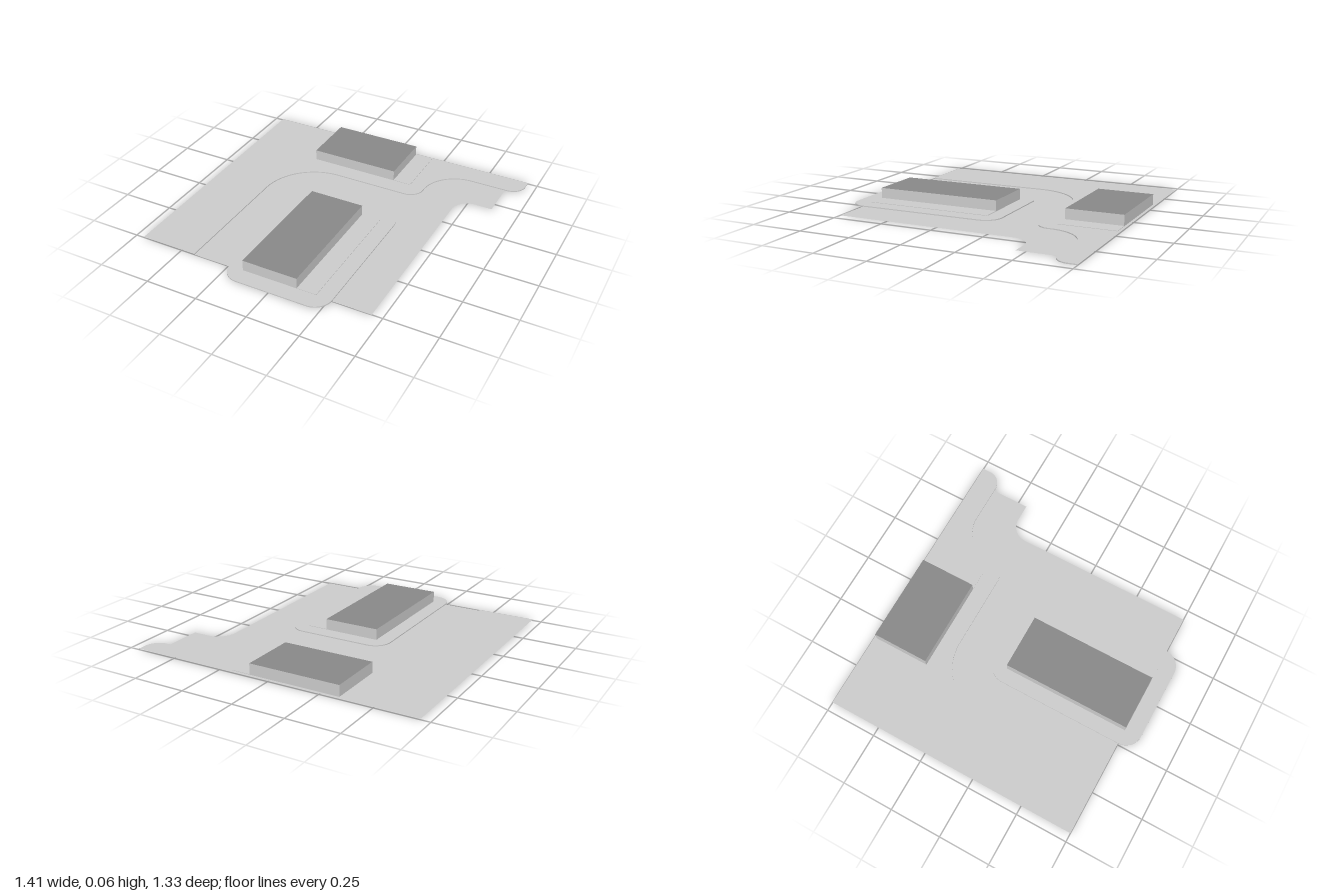
import * as THREE from 'three';

// Plan coordinates: u = x, v = -z, so v grows toward the back.
const KERB = 0.005;   // pavement height above the road
const ROOF = 0.057;   // top of the buildings

const paving = new THREE.MeshStandardMaterial({ color: 0xcbcbcb, side: THREE.DoubleSide });
paving.name = 'lightGreyPaving';
const wallPaint = new THREE.MeshStandardMaterial({ color: 0xcccccc, side: THREE.DoubleSide });
wallPaint.name = 'lightGreyWall';
const roofing = new THREE.MeshStandardMaterial({ color: 0x888888, side: THREE.DoubleSide });
roofing.name = 'darkGreyRoof';

function add(parent, name, geometry, material) {
  const mesh = new THREE.Mesh(geometry, material);
  mesh.name = name;
  parent.add(mesh);
  return mesh;
}

// Flat sheet at height y with optional holes
function sheet(points, y, holes = []) {
  const shape = new THREE.Shape(points);
  holes.forEach((h) => shape.holes.push(new THREE.Path(h)));
  return new THREE.ShapeGeometry(shape).rotateX(-Math.PI / 2).translate(0, y, 0);
}

// Vertical band following a plan path
function band(points, y0, y1) {
  const pos = [];
  for (let i = 0; i < points.length - 1; i++) {
    const a = points[i], b = points[i + 1];
    pos.push(a.x, y0, -a.y, b.x, y0, -b.y, b.x, y1, -b.y);
    pos.push(a.x, y0, -a.y, b.x, y1, -b.y, a.x, y1, -a.y);
  }
  const g = new THREE.BufferGeometry();
  g.setAttribute('position', new THREE.Float32BufferAttribute(pos, 3));
  g.computeVertexNormals();
  return g;
}

const P = (x, z) => new THREE.Vector2(x, -z);
const rect = (x0, x1, z0, z1) => [P(x0, z1), P(x1, z1), P(x1, z0), P(x0, z0)];
const closed = (pts) => [...pts, pts[0]];

// Winding kerb from the front left to the back right
function kerbLine() {
  const p = new THREE.Path();
  p.moveTo(-0.43, -0.25);
  p.lineTo(-0.43, 0.37);
  p.absarc(-0.17, 0.37, 0.26, Math.PI, Math.PI / 2, true);
  p.lineTo(0.195, 0.63);
  p.absarc(0.195, 0.70, 0.07, -Math.PI / 2, 0, false);
  p.absarc(0.445, 0.71, 0.18, Math.PI, Math.PI / 2, true);
  p.lineTo(0.62, 0.89);
  return p.getPoints(16);
}

// Rounded end of the back pavement
function pavementEnd() {
  const p = new THREE.Path();
  p.moveTo(0.62, 0.89);
  p.absarc(0.632, 0.96, 0.07, -Math.PI / 2, 0, false);
  p.lineTo(0.702, 1);
  return p.getPoints(12);
}

// Rounded rectangle of the island, anticlockwise
function islandOutline() {
  const x0 = -0.243, x1 = 0.265, v0 = -0.328, v1 = 0.442, r = 0.08, q = Math.PI / 2;
  const p = new THREE.Path();
  p.absarc(x0 + r, v0 + r, r, 2 * q, 3 * q, false);
  p.absarc(x1 - r, v0 + r, r, 3 * q, 4 * q, false);
  p.absarc(x1 - r, v1 - r, r, 0, q, false);
  p.absarc(x0 + r, v1 - r, r, q, 2 * q, false);
  return p.getPoints(10);
}

// Open-bottomed building with a flat roof and a thin paved apron beside it
function building(name, x0, x1, z0, z1, apronX) {
  const g = new THREE.Group();
  g.name = name;
  const plan = rect(x0, x1, z0, z1);
  add(g, 'walls', band(closed(plan), KERB, ROOF), wallPaint);
  add(g, 'roof', sheet(plan, ROOF), roofing);
  const apron = add(g, 'apron', new THREE.BoxGeometry(apronX - x1, 0.002, z1 - z0), paving);
  apron.position.set((x1 + apronX) / 2, KERB + 0.001, (z0 + z1) / 2);
  return g;
}

// Thin flat strip along a polyline
function strips(parent, name, pts, y, width) {
  for (let i = 0; i < pts.length - 1; i++) {
    const a = pts[i], b = pts[i + 1];
    const m = add(parent, name, new THREE.PlaneGeometry(a.distanceTo(b), width).rotateX(-Math.PI / 2), paving);
    m.position.set((a.x + b.x) / 2, y, -(a.y + b.y) / 2);
    m.rotation.y = Math.atan2(b.y - a.y, b.x - a.x);
  }
}

export function createModel() {
  const model = new THREE.Group();
  model.name = 'sitePlan';
  const kerb = kerbLine(), end = pavementEnd(), island = islandOutline();
  const backPlan = [-0.34, 0.1, -0.988, -0.713];
  const frontPlan = [-0.174, 0.096, -0.37, 0.25];

  // Road, running around the island and out to the back right
  const road = new THREE.Shape();
  road.moveTo(-0.43, -0.25);
  road.lineTo(-0.243, -0.25);
  island.filter((p) => p.y > -0.249).sort((a, b) => angle(a) - angle(b)).forEach((p) => road.lineTo(p.x, p.y));
  road.lineTo(0.265, -0.25);
  road.lineTo(0.45, -0.25);
  road.lineTo(0.45, 0.62);
  road.absarc(0.535, 0.62, 0.085, Math.PI, Math.PI / 2, true);
  road.lineTo(0.62, 0.705);
  [...kerb].reverse().forEach((p) => road.lineTo(p.x, p.y));
  add(model, 'road', new THREE.ShapeGeometry(road, 12).rotateX(-Math.PI / 2), paving);

  // Raised pavement and island, open beneath the buildings
  const pavement = [...kerb, ...end.slice(1), P(-0.708, -1), P(-0.708, 0.25)];
  add(model, 'pavement', sheet(pavement, KERB, [rect(...backPlan)]), paving);
  add(model, 'pavementKerb', band([...kerb, ...end.slice(1)], 0, KERB), paving);
  add(model, 'island', sheet(island, KERB, [rect(...frontPlan)]), paving);
  add(model, 'islandKerb', band(closed(island), 0, KERB), paving);

  // Buildings
  model.add(building('backBuilding', ...backPlan, 0.19));
  model.add(building('frontBuilding', ...frontPlan, 0.19));

  // Boundary line on the left of the pavement
  const boundary = [P(-0.692, -0.93), P(-0.692, -0.21), P(-0.538, -0.12), P(-0.538, 0.19), P(-0.65, 0.248)];
  strips(model, 'boundaryLine', boundary, KERB + 0.0006, 0.004);

  // Dashed lane lines
  const lane = new THREE.Path();
  lane.moveTo(-0.335, -0.22);
  lane.lineTo(-0.335, 0.37);
  lane.absarc(-0.17, 0.37, 0.165, Math.PI, Math.PI / 2, true);
  lane.lineTo(0.3, 0.535);
  const dashes = lane.getSpacedPoints(40);
  for (let i = 0; i < 40; i += 2) strips(model, 'laneDash', [dashes[i], dashes[i + 1]], 0.0006, 0.005);
  for (let z = -0.4; z < 0.2; z += 0.12) strips(model, 'laneDash', [P(0.357, z), P(0.357, z + 0.05)], 0.0006, 0.005);
  return model;
}

// Sweep order around the island from its left side over the back to its right side
function angle(p) {
  return -((Math.atan2(p.y - 0.05, p.x - 0.01) + 2.5 * Math.PI) % (2 * Math.PI));
}
